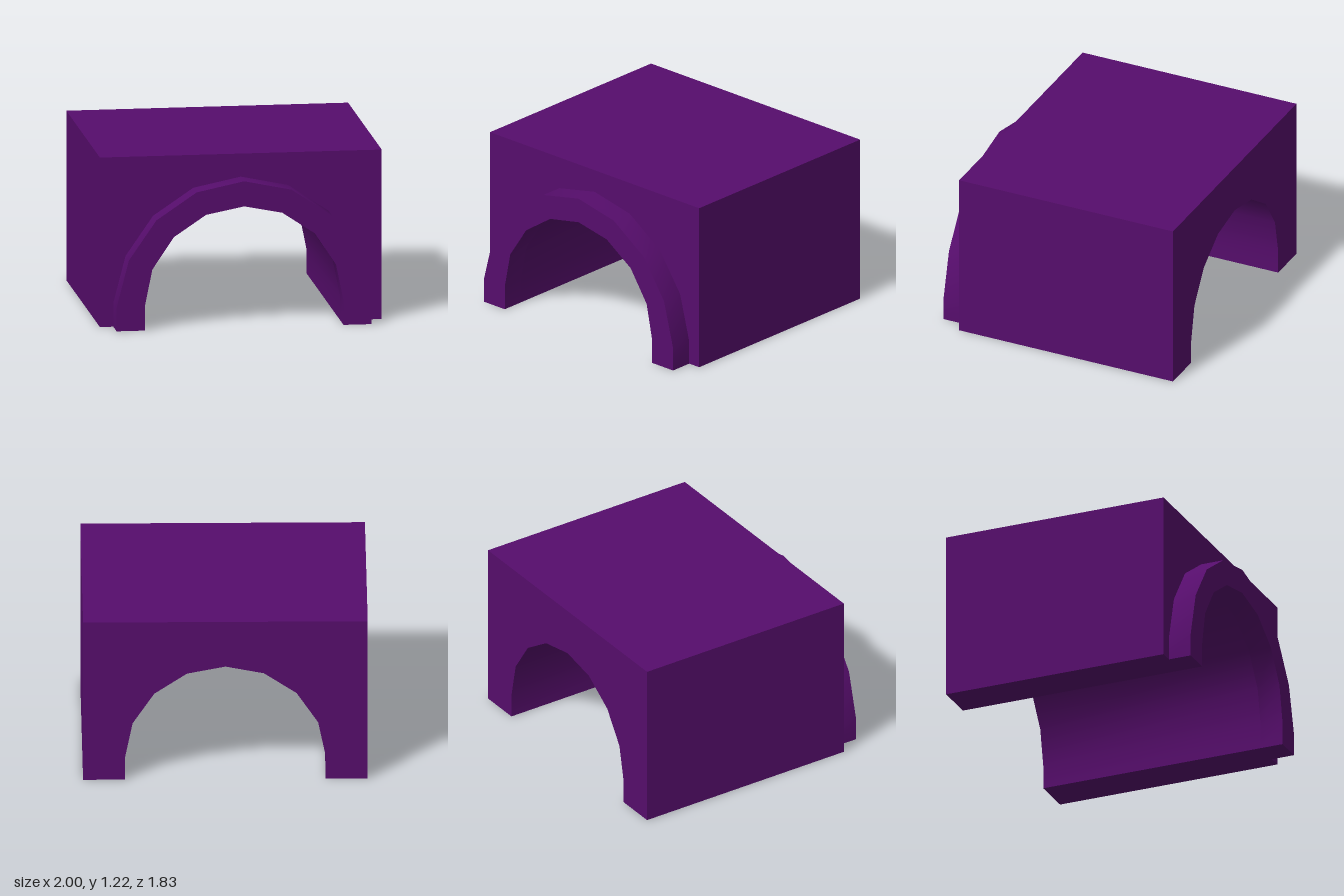
import * as THREE from 'three';
import { toCreasedNormals } from 'three/addons/utils/BufferGeometryUtils.js';

// Right half of each arch line, from the floor up to the crown
const INNER = [[0.705, 0], [0.705, 0.173], [0.652, 0.435], [0.5, 0.663], [0.27, 0.817], [0, 0.87]];
const OUTER = [[0.905, 0], [0.905, 0.17], [0.818, 0.505], [0.623, 0.787], [0.337, 0.98], [0, 1.05]];
const BLOCK = [[1, 0], [1, 1.215]];

// Mirror a half line into a full one running from +x to -x
function mirrored(half) {
  const left = half.filter(([x]) => x > 0).reverse().map(([x, y]) => [-x, y]);
  return [...half, ...left];
}

// Extrude the area between an outer line and the arch opening, from z0 to z1
function archway(name, outerHalf, z0, z1, material) {
  const outline = [...mirrored(outerHalf), ...mirrored(INNER).reverse()];
  const shape = new THREE.Shape(outline.map(([x, y]) => new THREE.Vector2(x, y)));
  const geometry = new THREE.ExtrudeGeometry(shape, { depth: z1 - z0, bevelEnabled: false });
  geometry.translate(0, 0, z0);
  const mesh = new THREE.Mesh(toCreasedNormals(geometry, 0.7), material);
  mesh.name = name;
  return mesh;
}

export function createModel() {
  const group = new THREE.Group();
  group.name = 'archedTunnel';
  const purple = new THREE.MeshStandardMaterial({ color: 0x560d6c });

  // Main block with the tunnel through it
  group.add(archway('tunnelBlock', BLOCK, -0.917, 0.75, purple));
  // Raised arch surround on the front
  group.add(archway('archSurround', OUTER, 0.75, 0.917, purple));
  return group;
}
